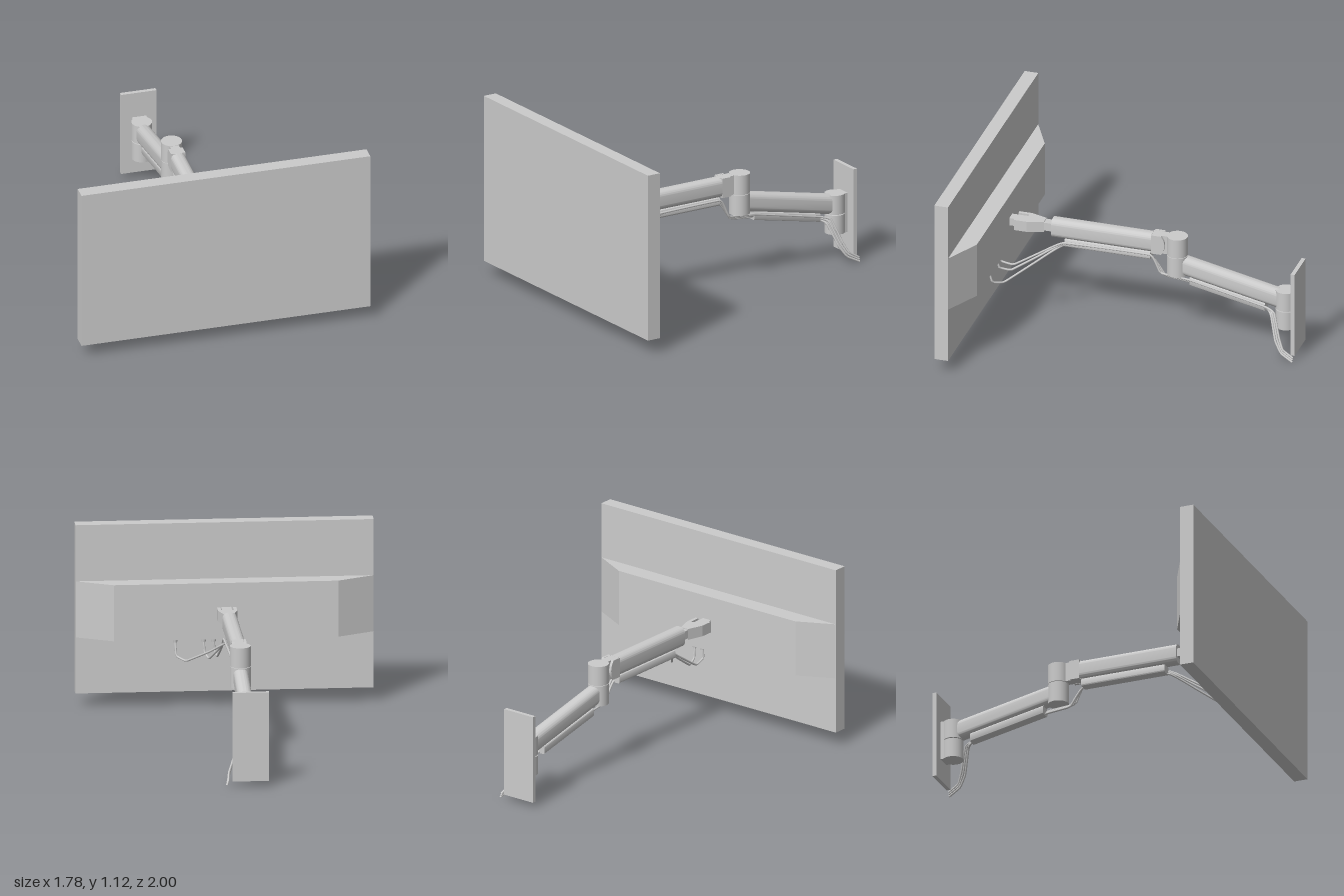
import * as THREE from 'three';
import { toCreasedNormals } from 'three/addons/utils/BufferGeometryUtils.js';

export function createModel() {
  const model = new THREE.Group();
  const grey = new THREE.MeshStandardMaterial({ color: 0xcccccc });

  function add(name, geometry) {
    const mesh = new THREE.Mesh(geometry, grey);
    mesh.name = name;
    model.add(mesh);
    return mesh;
  }

  // Box given by its limits
  function block(name, x0, x1, y0, y1, z0, z1) {
    const g = new THREE.BoxGeometry(x1 - x0, y1 - y0, z1 - z0);
    g.translate((x0 + x1) / 2, (y0 + y1) / 2, (z0 + z1) / 2);
    return add(name, g);
  }

  // Upright cylinder
  function post(name, r, y0, y1, z) {
    const g = new THREE.CylinderGeometry(r, r, y1 - y0, 32);
    g.translate(0, (y0 + y1) / 2, z);
    return add(name, g);
  }

  // Outline in x and z, raised from y0 to y1
  function slab(name, points, y0, y1) {
    const shape = new THREE.Shape(points.map(([x, z]) => new THREE.Vector2(x, z)));
    const g = new THREE.ExtrudeGeometry(shape, { depth: y1 - y0, bevelEnabled: false });
    g.rotateX(Math.PI / 2);
    g.translate(0, y1, 0);
    return add(name, g);
  }

  // Rounded bar running along z; centre height goes from ya (at za) to yb (at zb)
  function bar(name, w, h, r, za, ya, zb, yb) {
    const x = w / 2, y = h / 2;
    const s = new THREE.Shape();
    s.moveTo(-x + r, -y);
    s.lineTo(x - r, -y);
    s.absarc(x - r, -y + r, r, -Math.PI / 2, 0);
    s.lineTo(x, y - r);
    s.absarc(x - r, y - r, r, 0, Math.PI / 2);
    s.lineTo(-x + r, y);
    s.absarc(-x + r, y - r, r, Math.PI / 2, Math.PI);
    s.lineTo(-x, -y + r);
    s.absarc(-x + r, -y + r, r, Math.PI, Math.PI * 1.5);
    const g = new THREE.ExtrudeGeometry(s, { depth: zb - za, bevelEnabled: false, curveSegments: 8 });
    const p = g.attributes.position;
    for (let i = 0; i < p.count; i++) {
      const t = p.getZ(i) / (zb - za);
      p.setY(i, p.getY(i) + ya + (yb - ya) * t);
      p.setZ(i, p.getZ(i) + za);
    }
    return add(name, toCreasedNormals(g, 0.6));
  }

  // Screen with a tapered housing on its back
  block('screen', -0.89, 0.89, 0.095, 1.13, 0.915, 1);
  slab('screenHousing', [[-0.89, 0.916], [-0.67, 0.805], [0.67, 0.805], [0.89, 0.916]], 0.44, 0.785);

  // Wall plate and its bracket
  block('wallPlate', -0.11, 0.108, 0.04, 0.585, -1, -0.975);
  block('wallBracket', -0.045, 0.045, 0.175, 0.42, -0.976, -0.9);
  post('wallPivotLower', 0.062, 0.175, 0.295, -0.912);
  post('wallPivotUpper', 0.062, 0.3, 0.42, -0.912);
  post('wallPivotPin', 0.045, 0.29, 0.305, -0.912);

  // Sloping rear arm with its cable tray
  bar('rearArm', 0.088, 0.125, 0.04, -0.9, 0.352, -0.24, 0.493);
  bar('rearCableTray', 0.066, 0.055, 0.012, -0.79, 0.293, -0.32, 0.392);

  // Elbow
  post('elbowLower', 0.063, 0.42, 0.547, -0.235);
  post('elbowUpper', 0.063, 0.55, 0.672, -0.235);
  post('elbowPin', 0.045, 0.54, 0.555, -0.235);
  block('elbowTongue', -0.028, 0.028, 0.552, 0.671, -0.24, -0.08);

  // Front arm: forked at the elbow, solid beyond it
  bar('frontArm', 0.088, 0.122, 0.036, -0.085, 0.611, 0.54, 0.611);
  for (const side of [-1, 1]) {
    const s = new THREE.Shape();
    s.moveTo(0.08, 0.55);
    s.lineTo(0.08, 0.672);
    s.lineTo(-0.145, 0.672);
    s.quadraticCurveTo(-0.19, 0.611, -0.145, 0.55);
    const g = new THREE.ExtrudeGeometry(s, { depth: 0.016, bevelEnabled: false, curveSegments: 10 });
    g.rotateY(-Math.PI / 2);
    g.translate(side > 0 ? 0.044 : -0.028, 0, 0);
    // Only the cheek beside the tongue is kept clear of the rounded arm
    const p = g.attributes.position;
    for (let i = 0; i < p.count; i++) p.setZ(i, Math.min(p.getZ(i), -0.085));
    add('forkCheek', toCreasedNormals(g, 0.6));
  }
  bar('frontCableTray', 0.066, 0.052, 0.012, -0.075, 0.526, 0.46, 0.526);

  // Tilting head between the front arm and the housing
  block('headNeck', -0.027, 0.027, 0.588, 0.64, 0.5, 0.62);
  slab('headFork', [
    [-0.027, 0.59], [0.027, 0.59], [0.058, 0.69], [0.058, 0.768], [0.037, 0.768], [0.037, 0.7],
    [-0.037, 0.7], [-0.037, 0.768], [-0.058, 0.768], [-0.058, 0.69],
  ], 0.578, 0.646);
  block('headTongue', -0.03, 0.03, 0.59, 0.638, 0.69, 0.81);
  const pin = new THREE.CylinderGeometry(0.018, 0.018, 0.11, 20);
  pin.rotateZ(Math.PI / 2);
  pin.translate(0, 0.612, 0.74);
  add('headPin', pin);

  // Three cables from the housing, through both trays, to the foot of the wall plate
  [0.3, 0.13, 0.07].forEach((x, i) => {
    const d = (i - 1) * 0.012;
    const points = [
      [x, 0.43, 0.852], [x - 0.005, 0.35 + d, 0.838 + d], [x - 0.06 * x / 0.3, 0.332 + d, 0.77],
      [0.03 + (x - 0.03) * 0.3, 0.43 + d, 0.61], [0.03 + d, 0.52 + d, 0.46], [0.02 + d, 0.522 + d, -0.075],
      [0.02 + d, 0.41 + d, -0.152 + d], [0.018 + d, 0.39 + d, -0.32],
      [0.02 + d, 0.287 + d, -0.79], [0.045 + d / 2, 0.265 + d, -0.842 - d], [0.1, 0.13 + d, -0.888 - d],
      [0.125, 0.065 + d, -0.925 - d / 2], [0.138 - d / 3, 0.026 + d, -0.996],
    ].map((p) => new THREE.Vector3(...p));
    const path = new THREE.CatmullRomCurve3(points, false, 'catmullrom', 0.12);
    add('cable', new THREE.TubeGeometry(path, 110, 0.0065, 8));
    const plug = new THREE.CylinderGeometry(0.016, 0.012, 0.03, 14);
    plug.translate(x, 0.43, 0.852);
    add('cablePlug', plug);
  });

  return model;
}
